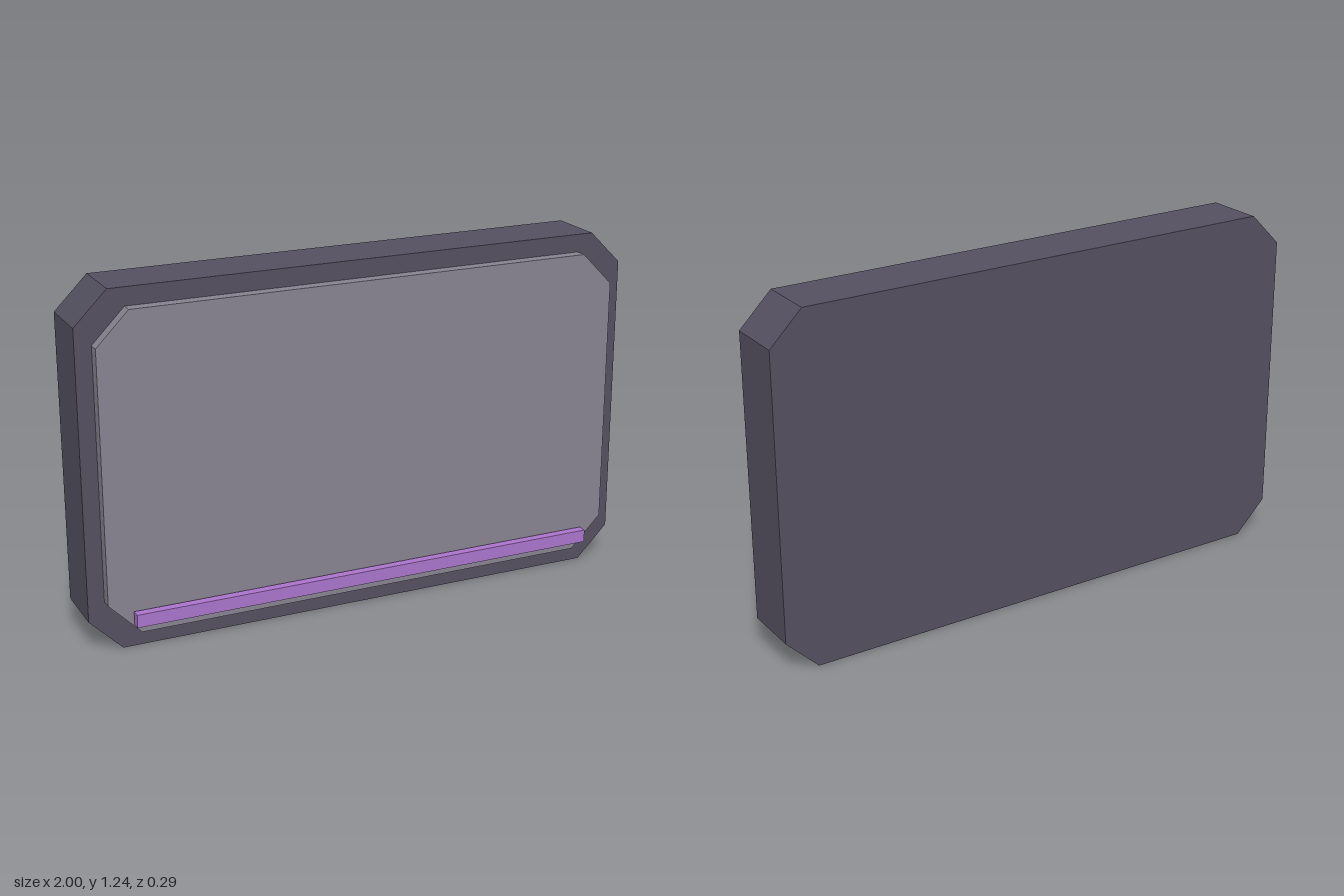
import * as THREE from 'three';

const material = (name, color) => {
  const m = new THREE.MeshStandardMaterial({ color });
  m.name = name;
  return m;
};

// Rectangle with cut corners, extruded from z0 to z1
function chamferedSlab(name, halfWidth, y0, y1, cutX, cutY, z0, z1, mat) {
  const w = halfWidth, c = halfWidth - cutX;
  const shape = new THREE.Shape([
    [-c, y0], [c, y0], [w, y0 + cutY], [w, y1 - cutY],
    [c, y1], [-c, y1], [-w, y1 - cutY], [-w, y0 + cutY],
  ].map(([x, y]) => new THREE.Vector2(x, y)));
  const geometry = new THREE.ExtrudeGeometry(shape, { depth: z1 - z0, bevelEnabled: false });
  geometry.translate(0, 0, z0);
  const mesh = new THREE.Mesh(geometry, mat);
  mesh.name = name;
  return mesh;
}

export function createModel() {
  const model = new THREE.Group();
  model.name = 'wallPanel';
  const dark = material('dark slate', 0x545060);
  const grey = material('mid grey', 0x878291);
  const purple = material('purple', 0xaa74cc);

  // Thick backing and raised front plate
  model.add(chamferedSlab('backing', 1, 0, 1.24, 0.115, 0.115, -0.145, 0.065, dark));
  model.add(chamferedSlab('facePlate', 0.943, 0.065, 1.177, 0.113, 0.115, 0.065, 0.107, grey));

  // Light strip floating just in front of the plate
  const strip = new THREE.Mesh(new THREE.BoxGeometry(1.716, 0.046, 0.032), purple);
  strip.position.set(0, 0.125, 0.13);
  strip.name = 'lightStrip';
  model.add(strip);

  return model;
}
